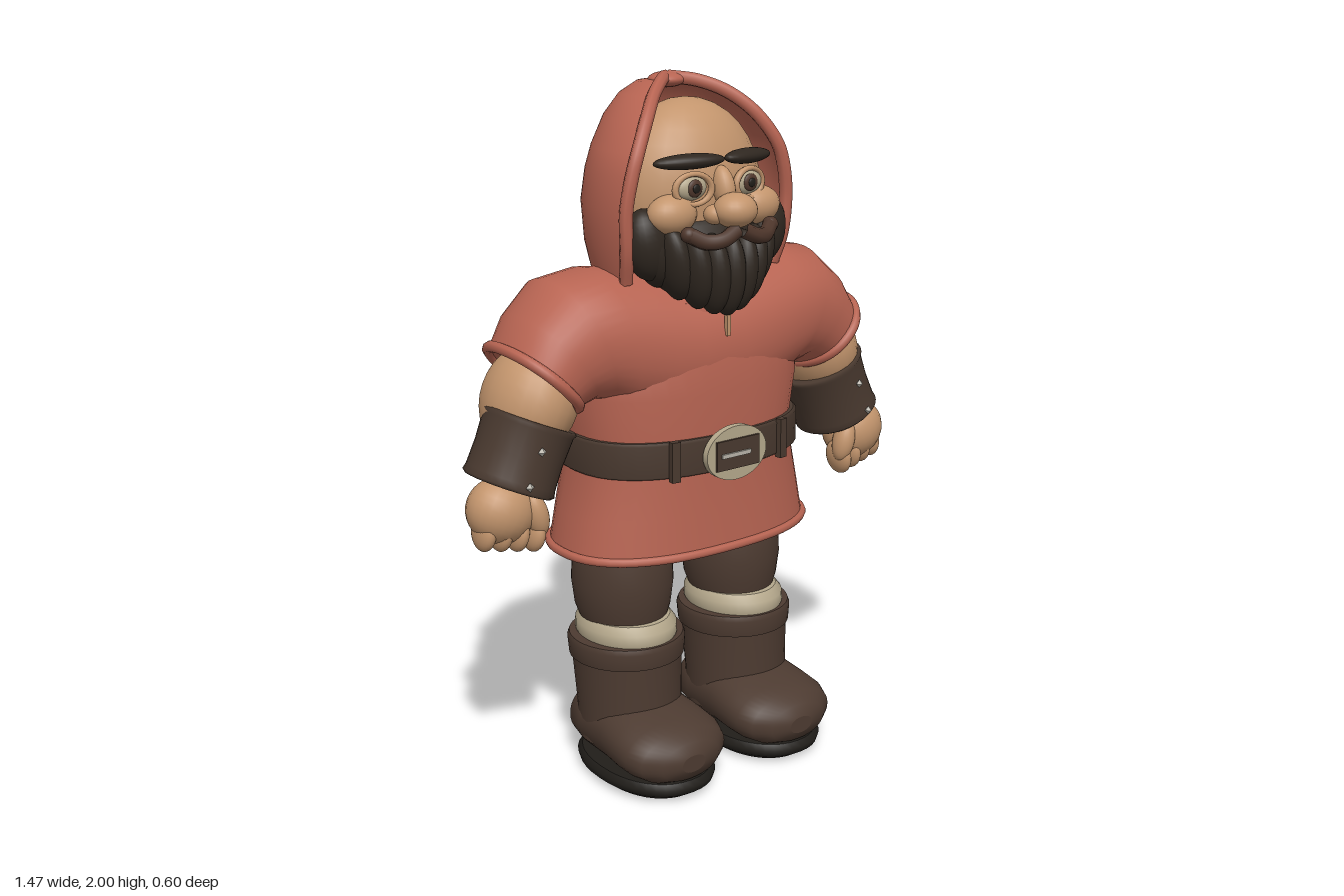
import * as THREE from 'three';

const V = (x, y, z) => new THREE.Vector3(x, y, z);
const rad = THREE.MathUtils.degToRad;

function makeMaterials() {
  const colours = {
    redCloth: 0xb76452, skin: 0xc3956d, darkLeather: 0x49392f, trouserBrown: 0x4d3b31,
    hair: 0x2f2720, moustacheBrown: 0x4e362b, cream: 0xb5a88c, soleBlack: 0x211e1a, metal: 0xb8b4aa,
  };
  const mats = {};
  for (const [name, color] of Object.entries(colours)) {
    mats[name] = new THREE.MeshStandardMaterial({ color });
    mats[name].name = name;
  }
  mats.redCloth.side = THREE.DoubleSide;
  return mats;
}

// Joins rows of points into a smooth surface; closed rows can be capped
function skinRows(rows, closed = true, caps = true) {
  const pos = [], idx = [], n = rows[0].length;
  const add = (p) => pos.push(p.x, p.y, p.z) / 3 - 1;
  rows.forEach((row) => row.forEach(add));
  const last = closed ? n : n - 1;
  for (let i = 0; i < rows.length - 1; i++) {
    for (let j = 0; j < last; j++) {
      const k = (j + 1) % n, a = i * n + j, b = i * n + k;
      idx.push(a, b, a + n, b, b + n, a + n);
    }
  }
  if (closed && caps) {
    [rows[0], rows[rows.length - 1]].forEach((row, end) => {
      const mid = row.reduce((s, p) => s.add(p), V(0, 0, 0)).divideScalar(n);
      const c = add(mid), ring = row.map(add);
      ring.forEach((a, j) => {
        const b = ring[(j + 1) % n];
        if (end) idx.push(c, a, b); else idx.push(c, b, a);
      });
    });
  }
  const g = new THREE.BufferGeometry();
  g.setAttribute('position', new THREE.Float32BufferAttribute(pos, 3));
  g.setIndex(idx);
  g.computeVertexNormals();
  return g;
}

// Superellipse ring: centre c, half axes u and v
function ring(c, u, v, power = 2, n = 40) {
  const f = (t) => Math.sign(t) * Math.abs(t) ** (2 / power);
  return Array.from({ length: n }, (_, j) => {
    const a = (j / n) * Math.PI * 2;
    return c.clone().addScaledVector(u, f(Math.cos(a))).addScaledVector(v, f(Math.sin(a)));
  });
}

// Horizontal ring from [y, halfWidth, halfDepth, z]
const flatRing = ([y, w, d, z], x = 0, power = 2) => ring(V(x, y, z), V(0, 0, d), V(w, 0, 0), power);

export function createModel() {
  const M = makeMaterials();
  const model = new THREE.Group();
  const put = (name, geo, mat, pos = [0, 0, 0], rot = [0, 0, 0], parent = model) => {
    const m = new THREE.Mesh(geo, mat);
    m.name = name;
    m.position.set(...pos);
    m.rotation.set(...rot);
    parent.add(m);
    return m;
  };
  const ball = (name, mat, pos, size, rot, parent) =>
    put(name, new THREE.SphereGeometry(1, 24, 16).scale(...size), mat, pos, rot, parent);
  const rope = (name, pts, r, mat, closed) =>
    put(name, new THREE.TubeGeometry(new THREE.CatmullRomCurve3(pts, closed), 64, r, 8, closed), mat);
  const box = (name, size, mat, pos, rot) => put(name, new THREE.BoxGeometry(...size), mat, pos, rot);

  // Tunic body with rolled hem
  const tunic = [
    [0.69, 0.405, 0.248, -0.04], [0.8, 0.383, 0.242, -0.04], [0.93, 0.355, 0.236, -0.04],
    [1.03, 0.35, 0.236, -0.04], [1.15, 0.37, 0.24, -0.04], [1.28, 0.36, 0.235, -0.045], [1.4, 0.25, 0.2, -0.05],
  ];
  put('tunic', skinRows(tunic.map((s) => flatRing(s, 0, 2.4))), M.redCloth);
  rope('tunicHem', flatRing([0.695, 0.405, 0.248, -0.04], 0, 2.4), 0.013, M.redCloth, true);

  // Shoulders and sleeves run from cuff to cuff: [x, y, ry, z, rz, tilt]
  const half = [
    [0.07, 1.252, 0.215, -0.045, 0.238, 0], [0.16, 1.265, 0.215, -0.045, 0.23, 0],
    [0.28, 1.29, 0.207, -0.045, 0.215, 8], [0.37, 1.3, 0.192, -0.04, 0.2, 22],
    [0.44, 1.268, 0.16, -0.035, 0.18, 38], [0.495, 1.22, 0.13, -0.03, 0.165, 45],
  ];
  const sleeveRing = ([x, y, ry, z, rz, t], s) =>
    ring(V(s * x, y, z), V(s * ry * Math.sin(rad(t)), ry * Math.cos(rad(t)), 0), V(0, 0, rz), 2.15);
  put('shouldersAndSleeves', skinRows([
    ...half.slice().reverse().map((h) => sleeveRing(h, -1)), ...half.map((h) => sleeveRing(h, 1)),
  ]), M.redCloth);

  // Belt, loops and buckle
  put('belt', skinRows([[0.928, 0.362], [0.935, 0.37], [1.025, 0.37], [1.032, 0.362]]
    .map(([y, w]) => flatRing([y, w, w - 0.117, -0.04], 0, 2.4))), M.darkLeather);
  for (const s of [-1, 1]) box('beltLoop', [0.026, 0.115, 0.02], M.darkLeather, [s * 0.19, 0.98, 0.198], [0, s * 0.12, 0]);
  put('buckle', new THREE.CylinderGeometry(1, 1, 0.02, 40).rotateX(Math.PI / 2).scale(0.105, 0.078, 1), M.cream, [0, 0.98, 0.223]);
  box('buckleCentre', [0.15, 0.085, 0.016], M.darkLeather, [0, 0.98, 0.232]);
  box('bucklePin', [0.1, 0.012, 0.012], M.metal, [-0.01, 0.98, 0.24]);
  box('collarCord', [0.012, 0.08, 0.012], M.skin, [0, 1.345, 0.187]);

  for (const s of [-1, 1]) {
    const tilt = s * rad(24);
    // Arm
    rope('sleeveCuff', sleeveRing(half[5], s), 0.016, M.redCloth, true);
    ball('upperArm', M.skin, [s * 0.505, 1.16, -0.035], [0.128, 0.16, 0.148], [0, 0, tilt]);
    const bracer = [[0, -0.095], [0.122, -0.095], [0.13, -0.088], [0.126, -0.07], [0.124, 0], [0.128, 0.08], [0.134, 0.09], [0.128, 0.097], [0, 0.097]];
    put('bracer', new THREE.LatheGeometry(bracer.map((p) => new THREE.Vector2(...p)), 32), M.darkLeather, [s * 0.555, 1.025, -0.015], [0, 0, tilt]);
    for (const [x, y] of [[0.565, 1.06], [0.605, 0.97]]) {
      put('bracerStud', new THREE.OctahedronGeometry(0.013), M.metal, [s * x, y, 0.118]);
    }

    // Hand with curled fingers and thumb
    ball('palm', M.skin, [s * 0.635, 0.885, 0.015], [0.1, 0.092, 0.085], [0, 0, tilt]);
    for (let i = 0; i < 4; i++) {
      ball('finger', M.skin, [s * (0.555 + i * 0.046), 0.815 + i * 0.008, 0.045 - i * 0.008], [0.027, 0.055, 0.05], [0, 0, s * 0.12]);
    }
    ball('thumb', M.skin, [s * 0.555, 0.87, 0.065], [0.033, 0.065, 0.035], [0, 0, s * -0.25]);

    // Trouser leg and cream sock top
    const x = s * 0.2;
    const leg = [[0.44, 0.118, 0.125, -0.04], [0.5, 0.138, 0.145, -0.045], [0.57, 0.147, 0.153, -0.045], [0.64, 0.143, 0.15, -0.045], [0.72, 0.125, 0.135, -0.045]];
    put('trouserLeg', skinRows(leg.map((r) => flatRing(r, x))), M.trouserBrown);
    const sock = [[0.4, 0.132, 0.155, -0.03], [0.42, 0.14, 0.165, -0.03], [0.45, 0.14, 0.162, -0.03], [0.472, 0.125, 0.145, -0.035]];
    put('sockTop', skinRows(sock.map((r) => flatRing(r, x))), M.cream);

    // Boot shaft with folded top, foot and sole
    const shaft = [[0.1, 0.15, 0.15, -0.015], [0.2, 0.153, 0.155, -0.015], [0.35, 0.16, 0.163, -0.026], [0.352, 0.168, 0.17, -0.027], [0.4, 0.172, 0.174, -0.028], [0.415, 0.166, 0.168, -0.028]];
    put('bootShaft', skinRows(shaft.map((r) => flatRing(r, x))), M.trouserBrown);
    const foot = [[-0.168, 0.08, 0.12, 0.07], [-0.145, 0.125, 0.13, 0.09], [-0.06, 0.152, 0.14, 0.105], [0.06, 0.158, 0.14, 0.105],
      [0.14, 0.168, 0.132, 0.093], [0.2, 0.168, 0.127, 0.086], [0.25, 0.148, 0.12, 0.075], [0.285, 0.1, 0.115, 0.055], [0.3, 0.04, 0.112, 0.025]];
    put('bootFoot', skinRows(foot.map(([z, w, y, h]) => ring(V(x, y, z), V(w, 0, 0), V(0, h, 0), 2.2))), M.trouserBrown);
    const sole = [[0, 0.14, 0.2, 0.065], [0.02, 0.165, 0.23, 0.065], [0.04, 0.17, 0.237, 0.065], [0.055, 0.158, 0.222, 0.065]];
    put('bootSole', skinRows(sole.map((r) => flatRing(r, x, 2.2))), M.soleBlack);

    // Cheek, eye and brow
    ball('cheek', M.skin, [s * 0.145, 1.645, 0.125], [0.075, 0.055, 0.055]);
    ball('eyeWhite', M.cream, [s * 0.095, 1.715, 0.145], [0.05, 0.034, 0.022]);
    ball('iris', M.moustacheBrown, [s * 0.095, 1.715, 0.163], [0.024, 0.024, 0.008]);
    ball('pupil', M.soleBlack, [s * 0.095, 1.715, 0.17], [0.012, 0.012, 0.004]);
    put('eyelid', new THREE.TorusGeometry(0.054, 0.01, 8, 28).scale(1, 0.76, 1), M.skin, [s * 0.095, 1.712, 0.156], [0, s * 0.2, 0]);
    ball('eyebrow', M.hair, [s * 0.1, 1.785, 0.143], [0.102, 0.021, 0.032], [0, s * 0.3, s * -0.03]);

    // Moustache half
    const curl = [V(s * 0.01, 1.605, 0.235), V(s * 0.06, 1.583, 0.238), V(s * 0.1, 1.58, 0.222), V(s * 0.14, 1.6, 0.195)];
    rope('moustache', curl, 0.022, M.moustacheBrown, false);
    ball('moustacheTip', M.moustacheBrown, [s * 0.14, 1.6, 0.195], [0.023, 0.022, 0.022]);
    ball('sideWhisker', M.hair, [s * 0.2, 1.565, 0.09], [0.068, 0.1, 0.06], [0, 0, s * -0.2]);
  }

  // Head, neck and nose
  ball('head', M.skin, [0, 1.68, -0.01], [0.235, 0.258, 0.172]);
  put('neck', new THREE.CylinderGeometry(0.17, 0.17, 0.16, 32), M.skin, [0, 1.48, -0.06]);
  ball('noseTip', M.skin, [0, 1.655, 0.215], [0.064, 0.048, 0.057]);
  ball('noseBridge', M.skin, [0, 1.71, 0.165], [0.03, 0.06, 0.035], [-0.3, 0, 0]);
  for (const s of [-1, 1]) ball('nostril', M.skin, [s * 0.05, 1.645, 0.19], [0.03, 0.027, 0.032]);

  // Beard of fanned locks
  ball('beardBase', M.hair, [0, 1.52, 0.1], [0.2, 0.13, 0.1]);
  for (let i = -4; i <= 4; i++) {
    const k = Math.abs(i);
    ball('beardLock', M.hair, [i * 0.047, 1.478 + k * k * 0.004, 0.185 - k * k * 0.006], [0.042, 0.117 - k * 0.004, 0.062], [0.05, 0, i * -0.07]);
  }

  // Hood open at the face: [y, radius, z, half angle of opening]
  const hood = [
    [1.465, 0.265, 0, 75], [1.55, 0.285, 0, 71], [1.66, 0.293, 0, 70], [1.75, 0.28, 0, 68], [1.81, 0.26, -0.005, 66],
    [1.89, 0.21, -0.03, 62], [1.945, 0.15, -0.06, 58], [1.975, 0.085, -0.088, 50], [1.985, 0.01, -0.1, 30],
  ];
  const hoodPoint = ([y, r, z], a) => V(r * Math.sin(a), y, z + r * Math.cos(a));
  put('hood', skinRows(hood.map((h) => Array.from({ length: 41 }, (_, j) =>
    hoodPoint(h, rad(h[3]) + (j / 40) * (Math.PI * 2 - 2 * rad(h[3]))))), false), M.redCloth);
  for (const s of [-1, 1]) rope('hoodTrim', hood.map((h) => hoodPoint(h, s * rad(h[3]))), 0.019, M.redCloth, false);
  ball('hoodKnot', M.redCloth, [0, 1.978, -0.09], [0.055, 0.022, 0.05]);

  return model;
}
